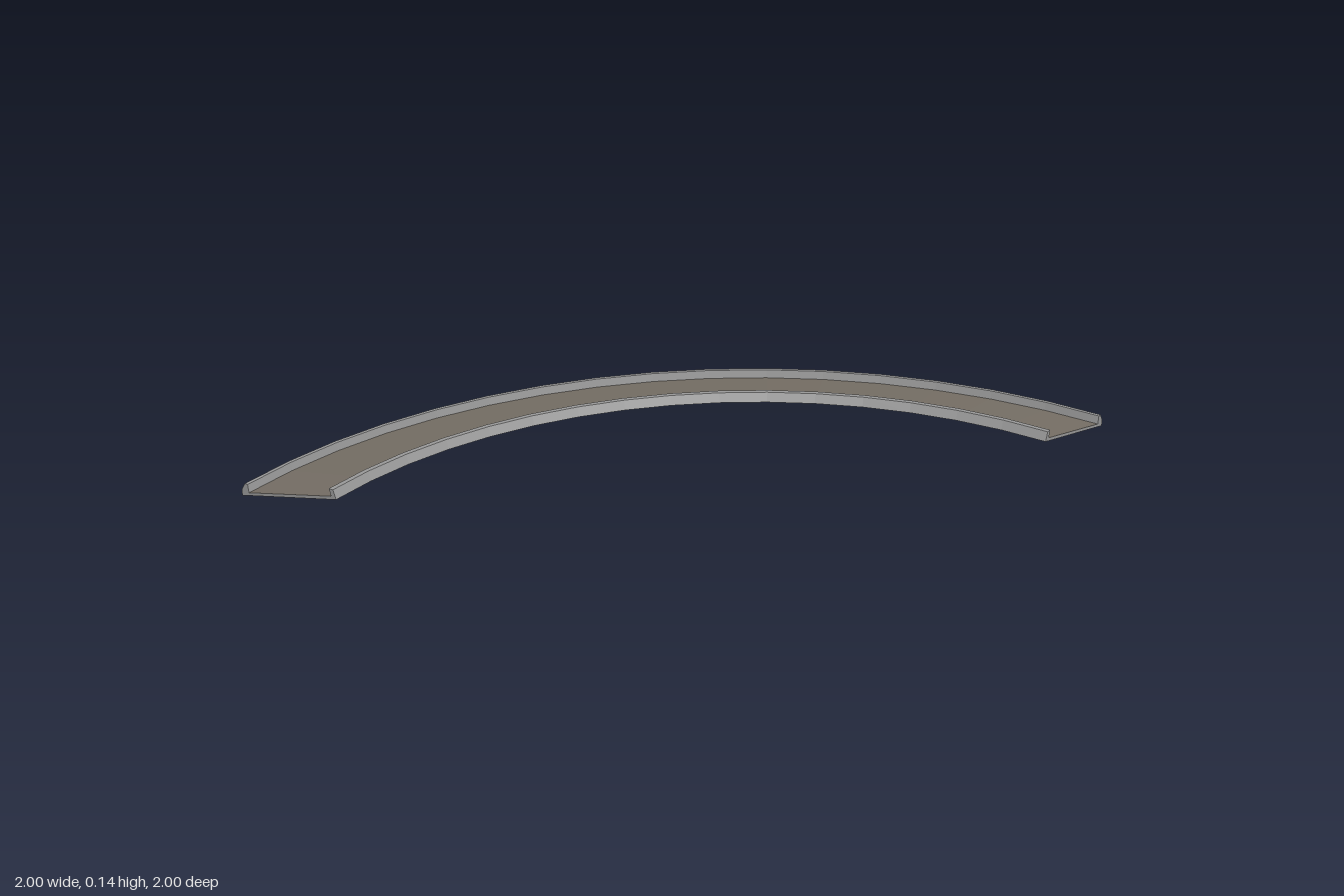
import * as THREE from 'three';

export function createModel() {
  const concrete = new THREE.MeshStandardMaterial({ color: 0x999999, flatShading: true });
  concrete.name = 'concrete grey';
  const asphalt = new THREE.MeshStandardMaterial({ color: 0x7a7369, flatShading: true });
  asphalt.name = 'warm asphalt';

  const model = new THREE.Group();
  model.name = 'bankedCurve';
  const add = (name, geometry, material) => {
    const mesh = new THREE.Mesh(geometry, material);
    mesh.name = name;
    mesh.position.set(1, 0, 1); // centre of the bend
    model.add(mesh);
  };

  // Cross-section as [radius, height], the inside edge raised
  const points = (list) => list.map(([r, y]) => new THREE.Vector2(r, y));
  const outerKerb = points([[2, 0], [2, 0.022], [1.986, 0.046], [1.974, 0.046], [1.97, 0.018]]);
  const innerKerb = points([[1.622, 0.111], [1.629, 0.136], [1.613, 0.136], [1.602, 0.105]]);
  const road = [outerKerb[4], innerKerb[0]];
  const underside = [innerKerb[3], outerKerb[0]];

  // Quarter-circle sweep of each strip
  const sweep = (profile) => new THREE.LatheGeometry(profile, 16, Math.PI, Math.PI / 2);
  add('outerKerb', sweep(outerKerb), concrete);
  add('innerKerb', sweep(innerKerb), concrete);
  add('underside', sweep(underside), concrete);
  add('roadSurface', sweep(road), asphalt);

  // End faces closing the section
  const section = [...outerKerb, ...innerKerb];
  const mirrored = section.map((p) => new THREE.Vector2(-p.x, p.y));
  add('leftEnd', new THREE.ShapeGeometry(new THREE.Shape(section)).rotateY(Math.PI / 2), concrete);
  add('frontEnd', new THREE.ShapeGeometry(new THREE.Shape(mirrored)), concrete);

  return model;
}
